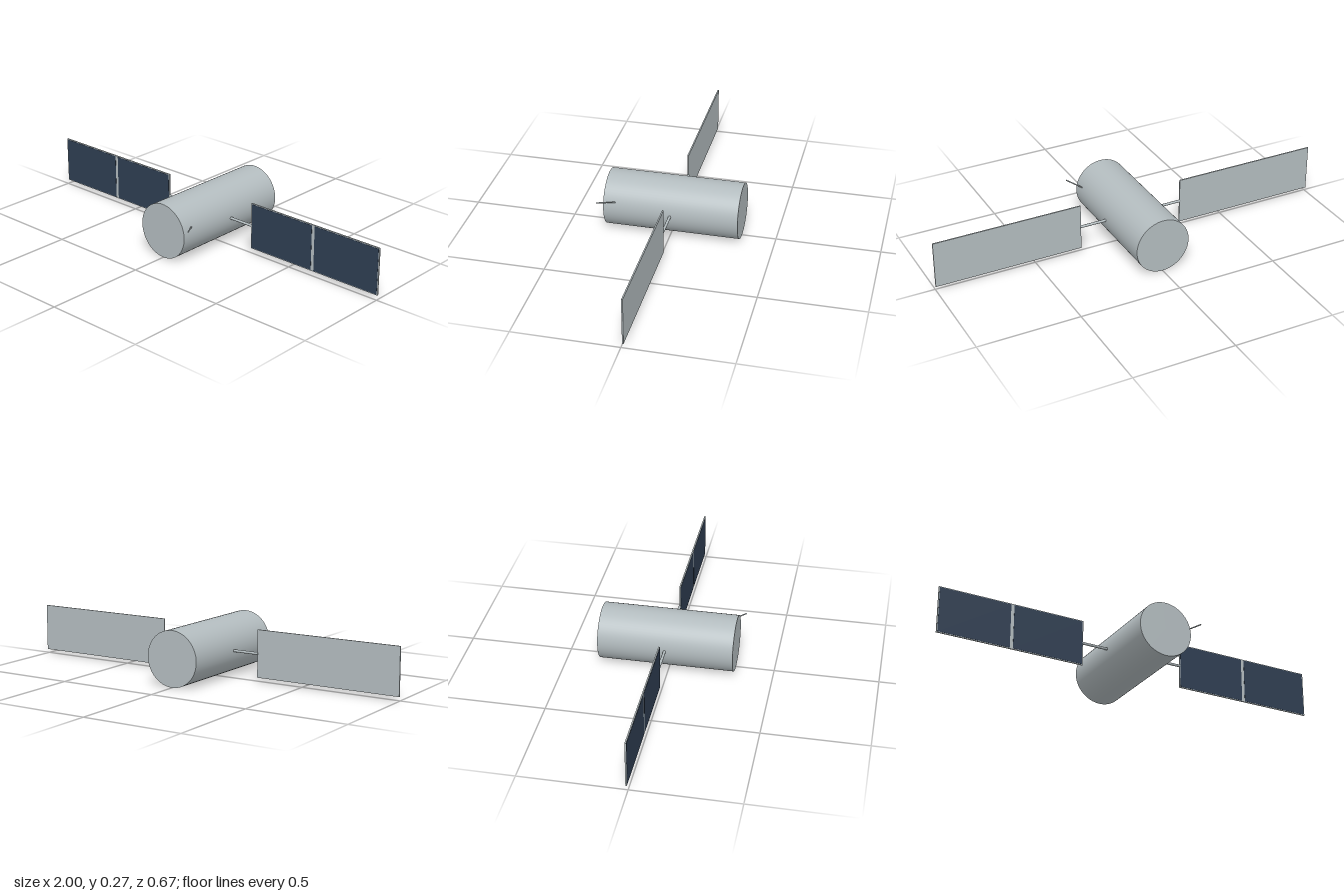
import * as THREE from 'three';

export function createModel() {
  const model = new THREE.Group();
  model.name = 'satellite';

  const metal = new THREE.MeshStandardMaterial({ color: 0xb3bcbf });
  metal.name = 'silver metal';
  const cells = new THREE.MeshStandardMaterial({ color: 0x2f3e52 });
  cells.name = 'dark blue solar cells';

  const AXIS_Y = 0.135, AXIS_Z = -0.0095;

  function add(name, geometry, material, x, y, z, parent = model) {
    const mesh = new THREE.Mesh(geometry, material);
    mesh.name = name;
    mesh.position.set(x, y, z);
    parent.add(mesh);
    return mesh;
  }

  // Round bar between two points
  function rod(name, from, to, radius, parent = model) {
    const dir = to.clone().sub(from);
    const mid = from.clone().add(to).multiplyScalar(0.5);
    const bar = add(name, new THREE.CylinderGeometry(radius, radius, dir.length(), 20), metal, mid.x, mid.y, mid.z, parent);
    bar.quaternion.setFromUnitVectors(new THREE.Vector3(0, 1, 0), dir.normalize());
  }

  // Cylindrical hull lying along z
  const hull = new THREE.CylinderGeometry(0.135, 0.135, 0.65, 64).rotateX(Math.PI / 2);
  add('hull', hull, metal, 0, AXIS_Y, -0.01);

  // Solar wings, mirrored left and right
  for (const side of [1, -1]) {
    const wing = new THREE.Group();
    wing.name = side > 0 ? 'leftWing' : 'rightWing';
    model.add(wing);

    rod('wingBoom', new THREE.Vector3(side * 0.11, AXIS_Y, AXIS_Z),
      new THREE.Vector3(side * 0.268, AXIS_Y, AXIS_Z), 0.0065, wing);
    add('panelBacking', new THREE.BoxGeometry(0.735, 0.23, 0.0065), metal, side * 0.6325, AXIS_Y, -0.0088, wing);

    // Two cell fields on the front face with a bare strip between them
    for (const x of [0.447, 0.818]) {
      add('solarCells', new THREE.BoxGeometry(0.355, 0.222, 0.001), cells, side * x, AXIS_Y, -0.0051, wing);
    }
  }

  // Whip antenna on the left side near the front
  rod('antenna', new THREE.Vector3(0.122, 0.174, 0.25), new THREE.Vector3(0.18, 0.192, 0.335), 0.003);

  return model;
}
